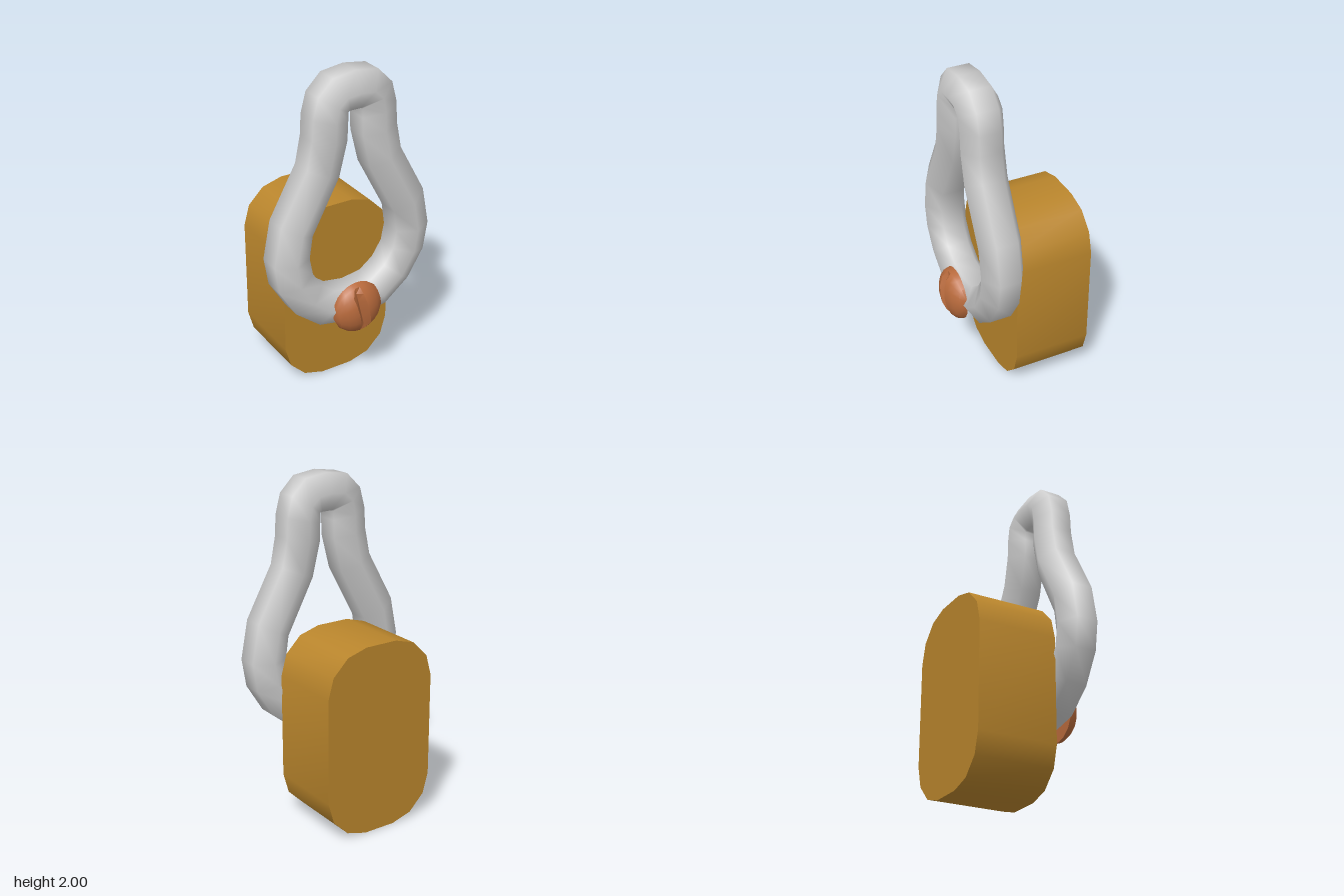
import * as THREE from 'three';
import { toCreasedNormals, mergeVertices } from 'three/addons/utils/BufferGeometryUtils.js';

// Skins a grid of points; rows and columns can each close on themselves.
function skin(rows, closed, crease) {
  const n = rows.length, m = rows[0].length, index = [];
  const endI = closed ? n : n - 1, endJ = closed ? m : m - 1;
  for (let i = 0; i < endI; i++) {
    for (let j = 0; j < endJ; j++) {
      const a = i * m + j, b = i * m + (j + 1) % m;
      const c = ((i + 1) % n) * m + j, d = ((i + 1) % n) * m + (j + 1) % m;
      index.push(a, b, c, b, d, c);
    }
  }
  const g = new THREE.BufferGeometry();
  g.setAttribute('position', new THREE.Float32BufferAttribute(rows.flat(2), 3));
  g.setIndex(index);
  if (crease) return toCreasedNormals(mergeVertices(g), crease);
  g.computeVertexNormals();
  return g;
}

function addMesh(parent, name, geometry, color) {
  const mesh = new THREE.Mesh(geometry, new THREE.MeshStandardMaterial({ color }));
  mesh.name = name;
  parent.add(mesh);
  return mesh;
}

// Block with rounded ends, extruded front to back
function blockGeometry() {
  const corner = [[0.355, 0.26], [0.32, 0.135], [0.225, 0.04], [0.1, 0.004]];
  const H = 1.14;
  const right = [
    ...corner.slice().reverse(),
    ...corner.map(([x, y]) => [x, H - y]),
  ];
  const left = right.map(([x, y]) => [-x, y]).reverse();
  const shape = new THREE.Shape([...right, ...left].map(([x, y]) => new THREE.Vector2(x, y)));
  const g = new THREE.ExtrudeGeometry(shape, { depth: 0.47, bevelEnabled: false });
  g.translate(0, 0, -0.39);
  return toCreasedNormals(g, 0.9);
}

// Pear-shaped loop: six-sided section spanning each outer and inner outline pair
function loopGeometry() {
  const half = [
    [0, 2.0, 0, 1.78],
    [0.14, 1.98, 0.03, 1.78],
    [0.23, 1.89, 0.045, 1.775],
    [0.262, 1.77, 0.046, 1.72],
    [0.268, 1.65, 0.05, 1.61],
    [0.30, 1.49, 0.10, 1.41],
    [0.465, 1.19, 0.27, 1.09],
    [0.51, 0.96, 0.29, 0.955],
    [0.483, 0.79, 0.27, 0.85],
    [0.38, 0.62, 0.21, 0.755],
    [0.225, 0.495, 0.125, 0.69],
    [0, 0.453, 0, 0.67],
  ];
  const mirrored = half.slice(1, -1).reverse().map(([a, b, c, d]) => [-a, b, -c, d]);
  const section = [[1, 0.064], [0.5, 0.127], [0, 0.064], [0, -0.064], [0.5, -0.127], [1, -0.064]];
  const rows = [...half, ...mirrored].map(([ox, oy, ix, iy]) =>
    section.map(([t, z]) => [ix + (ox - ix) * t, iy + (oy - iy) * t, 0.197 + z]));
  return skin(rows, true);
}

// Domed screw head with a V-shaped slot across it
function screwGeometry(back) {
  const R = 0.16, w = 0.033, steps = 8;
  const across = [-R, -0.14, -0.1, -0.065, -w, 0, w, 0.065, 0.1, 0.14, R];
  const rows = across.map((u) => {
    const c = Math.sqrt(Math.max(0, R * R - u * u));
    const row = [];
    for (let j = 0; j <= steps; j++) {
      const v = -c * Math.cos((j / steps) * Math.PI);
      const dome = 0.095 * Math.sqrt(Math.max(0, 1 - (u * u + v * v) / (R * R)));
      const z = back ? 0 : u === 0 ? Math.min(dome, 0.04) : dome;
      row.push([u, v, z]);
    }
    return row;
  });
  // Front faces +z, back cap faces -z
  return skin(back ? rows : rows.reverse(), false, 0.6);
}

export function createModel() {
  const model = new THREE.Group();
  model.name = 'hangingLoop';

  addMesh(model, 'block', blockGeometry(), 0xb9852c);
  addMesh(model, 'loop', loopGeometry(), 0xcccccc);

  const screw = new THREE.Group();
  screw.name = 'screw';
  addMesh(screw, 'screwHead', screwGeometry(false), 0xb86a3c);
  addMesh(screw, 'screwBack', screwGeometry(true), 0xb86a3c);
  screw.position.set(-0.005, 0.572, 0.3);
  screw.rotation.z = 0.24;
  model.add(screw);

  return model;
}
